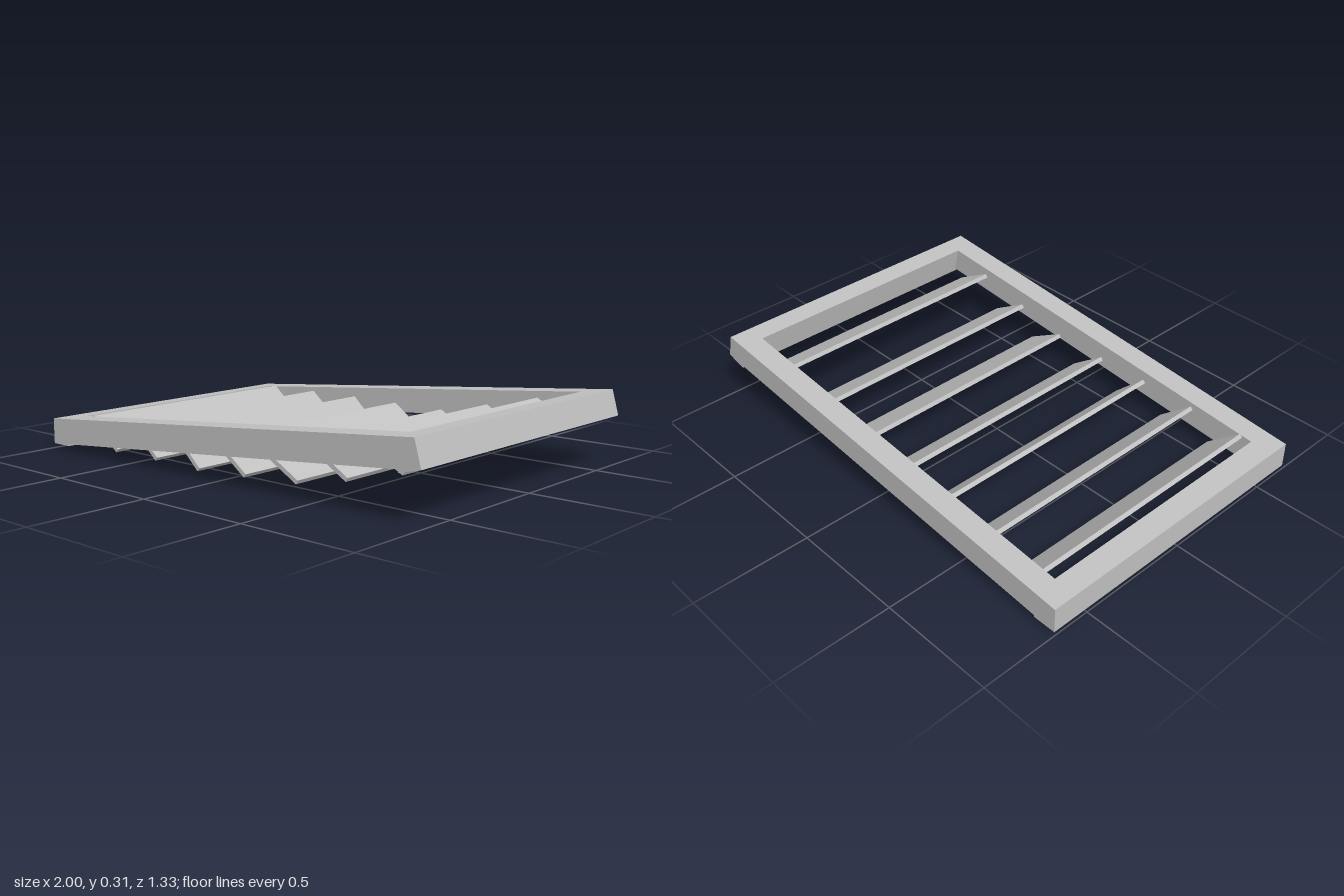
import * as THREE from 'three';

const HALF_DEPTH = 0.667, RAIL = 0.1;

export function createModel() {
  const group = new THREE.Group();
  const grey = new THREE.MeshStandardMaterial({ color: 0xc0c0c0 });
  grey.name = 'light grey';

  // Extrudes an x-y profile across z, centred on zMid
  function bar(name, profile, depth, zMid = 0) {
    const shape = new THREE.Shape(profile.map(([x, y]) => new THREE.Vector2(x, y)));
    const geo = new THREE.ExtrudeGeometry(shape, { depth, bevelEnabled: false });
    geo.translate(0, 0, zMid - depth / 2);
    const mesh = new THREE.Mesh(geo, grey);
    mesh.name = name;
    group.add(mesh);
  }

  // Heights of the sloping frame
  const top = x => 0.13 + 0.09 * (x + 1);
  const bottom = x => 0.019 + 0.09 * (x + 1);

  // Long sloping side rails
  for (const s of [1, -1]) {
    bar(s > 0 ? 'frontRail' : 'backRail',
      [[-0.91, bottom(-0.91)], [0.92, bottom(0.92)], [0.92, top(0.92)], [-0.91, top(-0.91)]],
      RAIL, s * (HALF_DEPTH - RAIL / 2));
  }

  // Upright low end and tilted high end
  bar('lowEndRail', [[-1, 0.02], [-0.9, 0.02], [-0.9, top(-0.9)], [-1, top(-1)]], HALF_DEPTH * 2);
  bar('highEndRail', [[0.905, 0.178], [1, 0.202], [0.97, top(0.97)], [0.878, top(0.878)]], HALF_DEPTH * 2);

  // Louvre slats: centre x, centre y, tilt in degrees
  const slats = [
    [-0.772, 0.076, 40], [-0.515, 0.077, 40], [-0.255, 0.075, 43], [0, 0.081, 36],
    [0.267, 0.089, 29], [0.51, 0.138, 30], [0.762, 0.198, 28],
  ];
  const slatGeo = new THREE.BoxGeometry(0.2, 0.018, (HALF_DEPTH - RAIL) * 2);
  slats.forEach(([x, y, tilt], i) => {
    const slat = new THREE.Mesh(slatGeo, grey);
    slat.name = `slat${i + 1}`;
    slat.position.set(x, y, 0);
    slat.rotation.z = -THREE.MathUtils.degToRad(tilt);
    group.add(slat);
  });

  return group;
}
